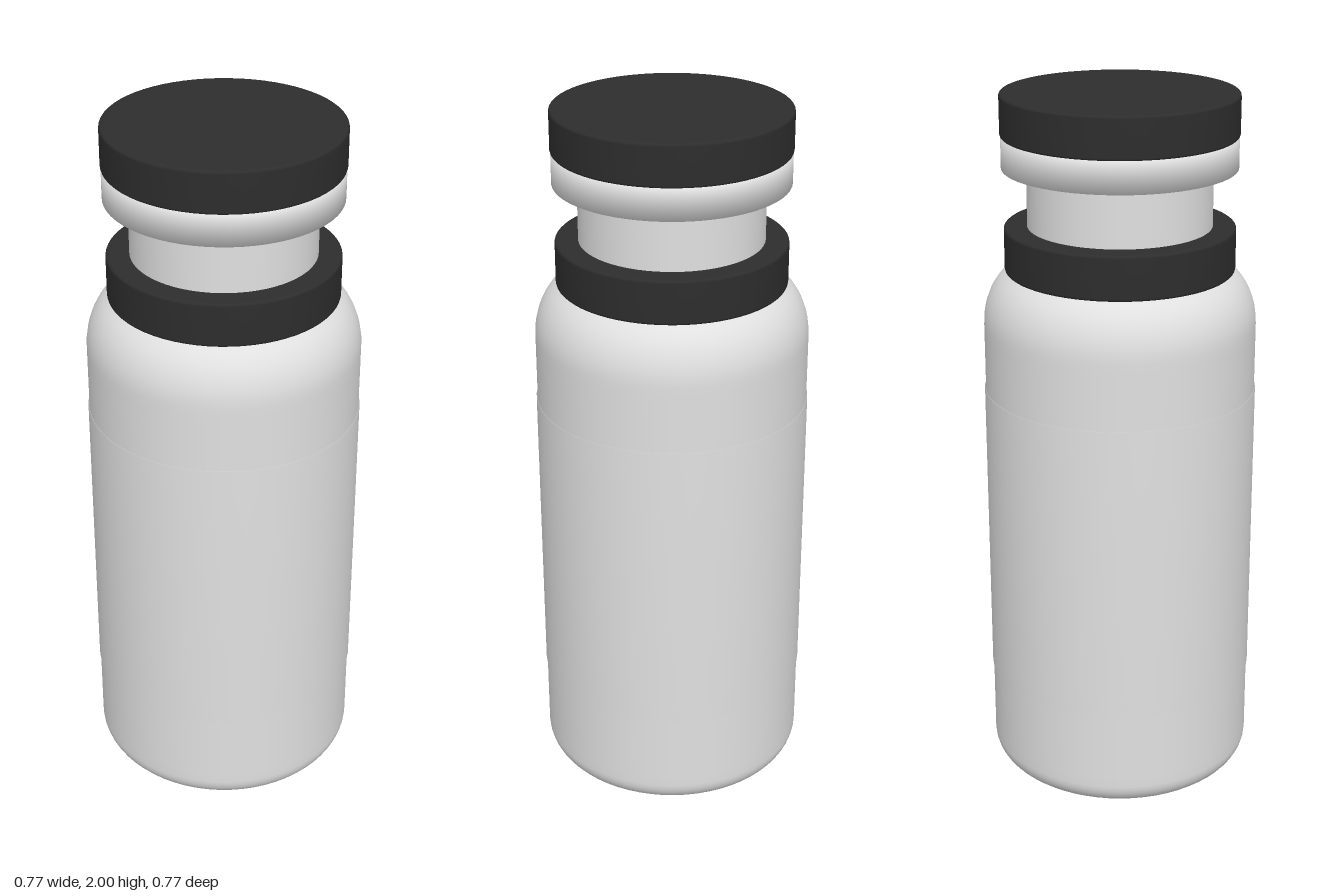
import * as THREE from 'three';

const SEGMENTS = 64;

export function createModel() {
  const bottle = new THREE.Group();
  bottle.name = 'bottle';

  const shell = new THREE.MeshStandardMaterial({ color: 0xe0e0e0 });
  shell.name = 'light grey';
  const rubber = new THREE.MeshStandardMaterial({ color: 0x2d2d2d });
  rubber.name = 'black';

  // Turned part from [radius, height] points, listed from bottom to top
  function turn(name, material, points) {
    const profile = points.map(([r, y]) => new THREE.Vector2(r, y));
    const mesh = new THREE.Mesh(new THREE.LatheGeometry(profile, SEGMENTS), material);
    mesh.name = name;
    bottle.add(mesh);
  }

  // Quarter-ellipse of profile points around (cx, cy)
  function arc(cx, cy, rx, ry, from, to, steps = 8) {
    return Array.from({ length: steps + 1 }, (_, i) => {
      const a = from + ((to - from) * i) / steps;
      return [cx + rx * Math.cos(a), cy + ry * Math.sin(a)];
    });
  }

  // Flat disc with small rounded rims
  function disc(name, material, r, y0, y1, bevel) {
    turn(name, material, [
      [0, y0], [r - bevel * 2, y0],
      ...arc(r - bevel, y0 + bevel, bevel, bevel, -Math.PI / 2, 0, 3),
      ...arc(r - bevel, y1 - bevel, bevel, bevel, 0, Math.PI / 2, 3),
      [r - bevel * 2, y1], [0, y1],
    ]);
  }

  // Body with rounded base and shoulder
  turn('body', shell, [
    [0, 0], [0.29, 0],
    ...arc(0.31, 0.07, 0.07, 0.07, -Math.PI / 2, 0),
    [0.38, 0.1], [0.38, 1.33],
    ...arc(0.25, 1.36, 0.13, 0.17, 0, Math.PI * 0.33),
    [0.306, 1.515], [0.25, 1.52],
  ]);

  // Raised band around the body, softly shaded over its edges
  turn('sleeve', shell, [[0.376, 0.3], [0.383, 0.3], [0.383, 1.17], [0.376, 1.17]]);

  // Collar, neck and cap
  disc('collar', rubber, 0.319, 1.51, 1.635, 0.008);
  turn('neck', shell, [[0.255, 1.6], [0.255, 1.82]]);
  turn('capFlange', shell, [[0.25, 1.797], [0.323, 1.797], [0.323, 1.885], [0.25, 1.887]]);
  disc('cap', rubber, 0.325, 1.883, 2, 0.008);

  return bottle;
}
